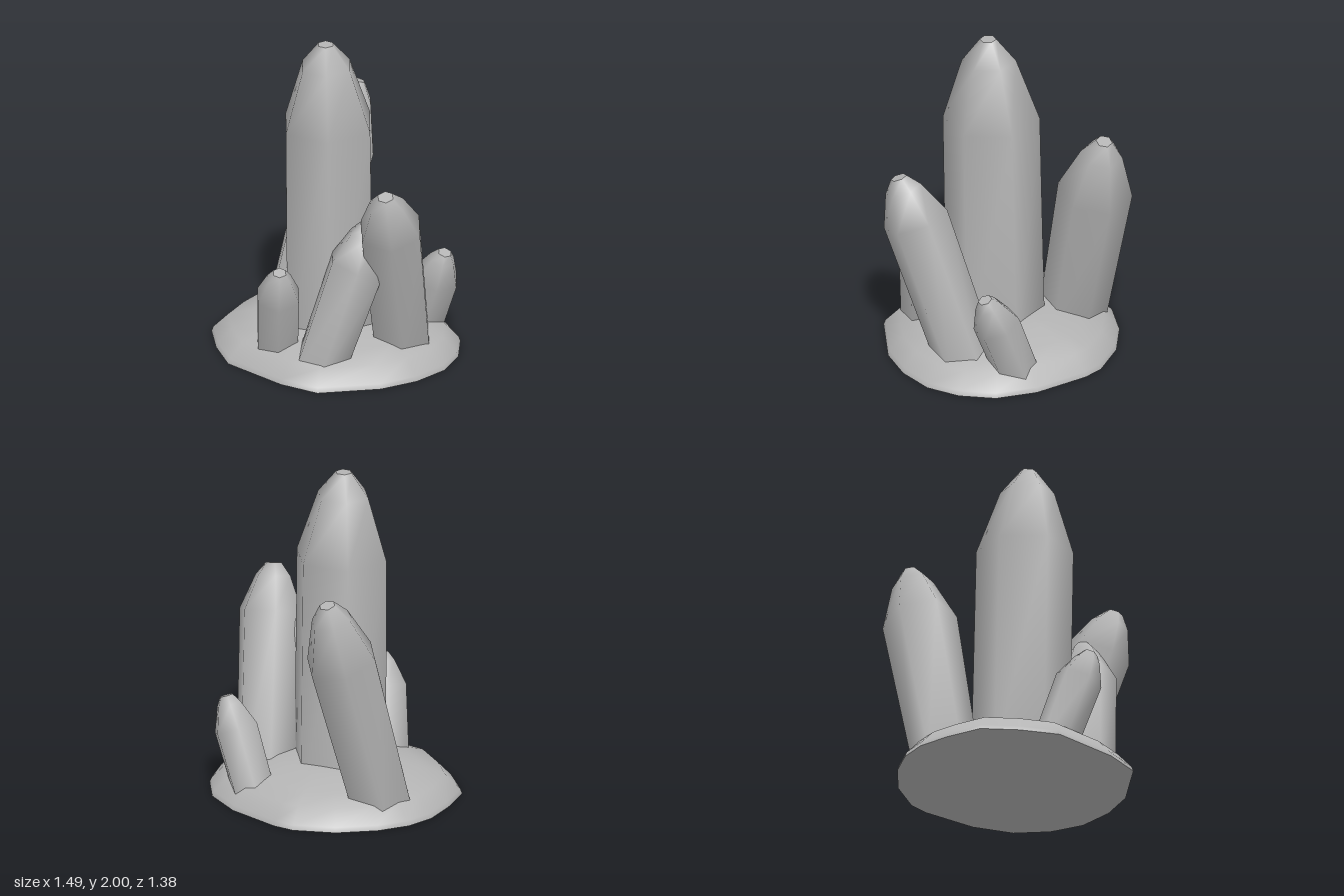
import * as THREE from 'three';

const stone = new THREE.MeshStandardMaterial({ color: 0xb4b4b4 });
stone.name = 'grey stone';

// Surface through closed rings of points; rings run counter-clockwise seen from above, bottom first
function loft(rings) {
  const n = rings[0].length, index = [];
  for (let r = 0; r < rings.length - 1; r++) {
    for (let i = 0; i < n; i++) {
      const a = r * n + i, b = r * n + (i + 1) % n;
      index.push(a, b, b + n, a, b + n, a + n);
    }
  }
  return finish(rings.flat(), index);
}

// Flat polygon closing a ring
function cap(ring, up) {
  const index = [];
  for (let i = 1; i < ring.length - 1; i++) index.push(0, up ? i : i + 1, up ? i + 1 : i);
  return finish(ring, index);
}

function finish(points, index) {
  const g = new THREE.BufferGeometry().setFromPoints(points);
  g.setIndex(index);
  g.computeVertexNormals();
  return g;
}

function add(group, name, geometry) {
  const mesh = new THREE.Mesh(geometry, stone);
  mesh.name = name;
  group.add(mesh);
}

// Six-sided leaning crystal: foot, shoulder and tip centres with radii at foot and shoulder
function crystal(name, foot, shoulder, tip, rFoot, rShoulder) {
  const group = new THREE.Group();
  group.name = name;
  const [f, s, t] = [foot, shoulder, tip].map(p => new THREE.Vector3(...p));
  const axis = t.clone().sub(f).normalize();
  const u = new THREE.Vector3(1, 0, 0).addScaledVector(axis, -axis.x).normalize();
  const v = new THREE.Vector3().crossVectors(u, axis);
  const ring = (c, r) => Array.from({ length: 6 }, (_, i) => {
    const a = i * Math.PI / 3;
    return c.clone().addScaledVector(u, r * Math.cos(a)).addScaledVector(v, -r * Math.sin(a));
  });
  // slide the foot ring along the axis so it ends just above the ground
  const bottom = ring(f, rFoot).map(p => p.addScaledVector(axis, (0.01 - p.y) / axis.y));
  const top = ring(t, Math.min(0.05, rShoulder * 0.3));
  const neck = ring(s.clone().lerp(t, 0.73), rShoulder * 0.56);
  add(group, name + 'Sides', loft([bottom, ring(s, rShoulder), neck, top]));
  add(group, name + 'Tip', cap(top, true));
  return group;
}

// Low mound with an irregular outline
function mound() {
  const group = new THREE.Group();
  group.name = 'rockBase';
  const outline = [
    [0.745, 0.03], [0.72, -0.18], [0.62, -0.38], [0.42, -0.54], [0.1, -0.67], [-0.03, -0.69],
    [-0.28, -0.63], [-0.5, -0.5], [-0.64, -0.36], [-0.72, -0.2], [-0.745, 0], [-0.74, 0.23],
    [-0.6, 0.42], [-0.42, 0.59], [0, 0.69], [0.25, 0.69], [0.55, 0.45], [0.68, 0.25],
  ];
  const profile = [[1, 0], [0.985, 0.03], [0.87, 0.12], [0.68, 0.165], [0.45, 0.21], [0.2, 0.22], [0.001, 0.22]];
  const rings = profile.map(([k, y]) => outline.map(([x, z]) => new THREE.Vector3(x * k, y, z * k)));
  add(group, 'moundTop', loft(rings));
  add(group, 'moundUnderside', cap(rings[0], false));
  return group;
}

export function createModel() {
  const model = new THREE.Group();
  model.name = 'crystalCluster';
  model.add(
    mound(),
    crystal('mainCrystal', [-0.02, 0.2, 0.07], [-0.018, 1.475, 0.095], [-0.02, 2, 0.12], 0.295, 0.29),
    crystal('backRightCrystal', [-0.39, 0.15, -0.25], [-0.26, 1.06, -0.49], [-0.21, 1.44, -0.59], 0.2, 0.225),
    crystal('frontLeftCrystal', [0.43, 0.15, 0], [0.515, 0.97, 0.275], [0.54, 1.23, 0.38], 0.185, 0.2),
    crystal('frontCrystal', [0.15, 0.13, 0.43], [0.315, 0.715, 0.32], [0.355, 0.96, 0.27], 0.165, 0.18),
    crystal('smallFrontCrystal', [-0.17, 0.15, 0.43], [-0.11, 0.49, 0.53], [-0.07, 0.675, 0.585], 0.135, 0.142),
    crystal('smallBackCrystal', [0.39, 0.13, -0.34], [0.5, 0.43, -0.3], [0.575, 0.615, -0.27], 0.135, 0.142),
  );
  return model;
}
